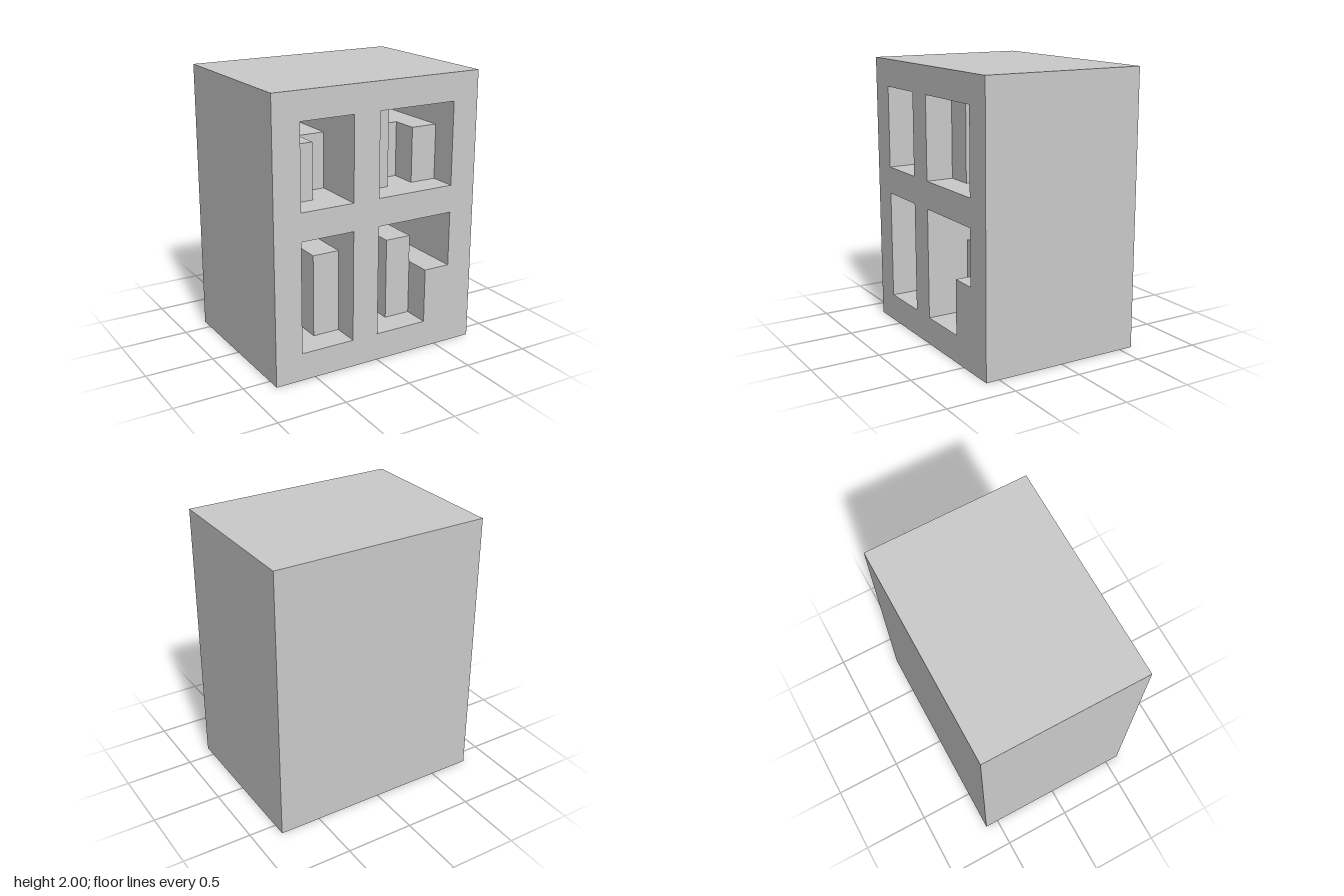
import * as THREE from 'three';

const FRONT = 0.6, BACK = -0.6, WALL = 0.2;
const INNER = BACK + WALL; // front face of the back panel

const material = new THREE.MeshStandardMaterial({ color: 0xcccccc, flatShading: true });

function outline(points, Type = THREE.Shape) {
  return new Type(points.map(([x, y]) => new THREE.Vector2(x, y)));
}

const rect = (x0, y0, x1, y1) => [[x0, y0], [x1, y0], [x1, y1], [x0, y1]];

// Box given by its extents
function block(name, x0, x1, y0, y1, z0, z1) {
  const mesh = new THREE.Mesh(new THREE.BoxGeometry(x1 - x0, y1 - y0, z1 - z0), material);
  mesh.position.set((x0 + x1) / 2, (y0 + y1) / 2, (z0 + z1) / 2);
  mesh.name = name;
  return mesh;
}

export function createModel() {
  const model = new THREE.Group();
  model.name = 'bookcase';

  // Case with four compartments; the lower one at +x has a flush block in its corner
  const face = outline(rect(-0.8, 0, 0.8, 2));
  const openings = [
    rect(-0.6, 1.2, -0.2, 1.8),
    rect(0, 1.2, 0.6, 1.8),
    rect(-0.6, 0.2, -0.2, 1),
    [[0, 0.2], [0.4, 0.2], [0.4, 0.6], [0.6, 0.6], [0.6, 1], [0, 1]],
  ];
  face.holes = openings.map((points) => outline(points, THREE.Path));
  const frame = new THREE.Mesh(
    new THREE.ExtrudeGeometry(face, { depth: FRONT - INNER, bevelEnabled: false }), material);
  frame.position.z = INNER;
  frame.name = 'caseFrame';
  model.add(frame);
  model.add(block('backPanel', -0.8, 0.8, 0, 2, BACK, INNER));

  // Books: left edge, shelf height, book height, setback from the front
  const books = [
    [-0.6, 1.2, 0.4, 0.2],
    [-0.4, 1.2, 0.4, 0.4],
    [0, 1.2, 0.6, 0.2],
    [0.2, 1.2, 0.4, 0.4],
    [0.4, 1.2, 0.4, 0.2],
    [-0.6, 0.2, 0.4, 0.4],
    [-0.4, 0.2, 0.6, 0.2],
    [0, 0.2, 0.4, 0.4],
    [0.2, 0.2, 0.6, 0.2],
  ];
  const row = new THREE.Group();
  row.name = 'books';
  books.forEach(([x, y, h, setback], i) => {
    row.add(block(`book${i + 1}`, x, x + 0.2, y, y + h, INNER, FRONT - setback));
  });
  model.add(row);

  return model;
}
